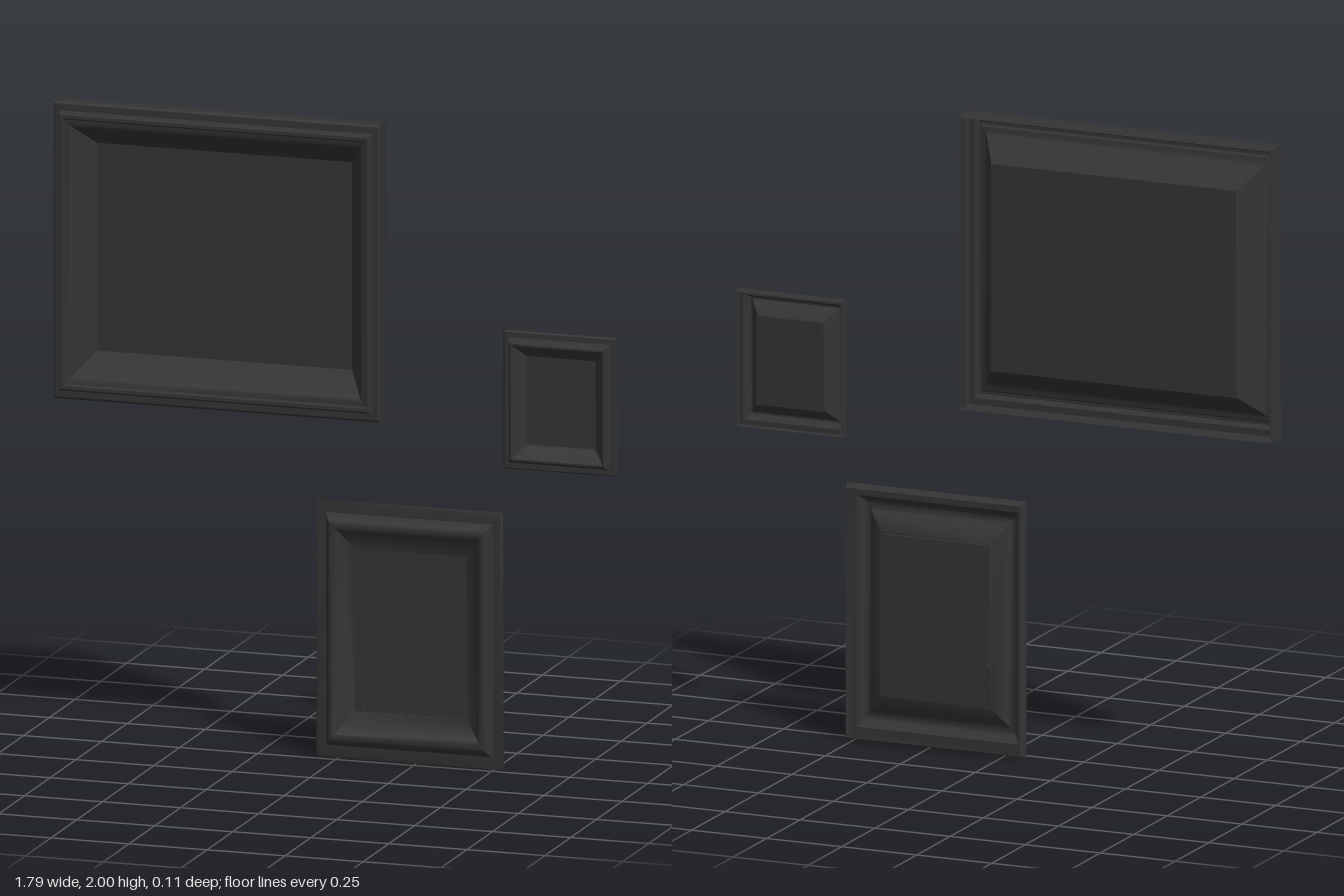
import * as THREE from 'three';
import { toCreasedNormals } from 'three/addons/utils/BufferGeometryUtils.js';

const material = new THREE.MeshStandardMaterial({ color: 0x333333, side: THREE.DoubleSide });

// Mitred hollow moulding: profile is [inset 0..1, z] from the outer back edge to the opening
function mouldingGeometry(w, h, insetX, insetY, profile) {
  const signs = [[-1, -1], [1, -1], [1, 1], [-1, 1]];
  const point = (i, k) => {
    const [t, z] = profile[i];
    const [sx, sy] = signs[k % 4];
    return [sx * (w / 2 - t * insetX), sy * (h / 2 - t * insetY), z];
  };
  const positions = [];
  for (let k = 0; k < 4; k++) {
    for (let i = 0; i < profile.length - 1; i++) {
      const a = point(i, k), b = point(i, k + 1), c = point(i + 1, k + 1), d = point(i + 1, k);
      positions.push(...a, ...b, ...c, ...a, ...c, ...d);
    }
  }
  const geometry = new THREE.BufferGeometry();
  geometry.setAttribute('position', new THREE.Float32BufferAttribute(positions, 3));
  return toCreasedNormals(geometry, 0.6);
}

function pictureFrame(name, { x0, x1, y0, y1, insetX, insetY, profile, panelZ }) {
  const w = x1 - x0, h = y1 - y0;
  const group = new THREE.Group();
  group.name = name;
  group.position.set((x0 + x1) / 2, (y0 + y1) / 2, 0);

  const moulding = new THREE.Mesh(mouldingGeometry(w, h, insetX, insetY, profile), material);
  moulding.name = 'moulding';

  const panel = new THREE.Mesh(new THREE.PlaneGeometry(w - 2 * insetX, h - 2 * insetY), material);
  panel.name = 'picturePanel';
  panel.position.z = panelZ;

  group.add(moulding, panel);
  return group;
}

// Deep stepped moulding with a long slope down to the picture
const deepProfile = [
  [0.05, -0.045], [0, 0.025], [0.05, 0.03], [0.2, 0.03], [0.22, 0.048], [0.26, 0.054],
  [0.33, 0.054], [0.37, 0.045], [0.48, 0.042], [0.56, 0.034], [0.6, 0.025], [1, -0.048],
];

// Shallow moulding with a rounded raised lip
const shallowProfile = [
  [0.07, -0.055], [0, -0.025], [0.05, -0.022], [0.26, -0.022], [0.3, -0.012], [0.36, 0],
  [0.43, 0.007], [0.5, 0.008], [0.57, 0.004], [0.64, -0.006], [0.95, -0.028], [1, -0.03], [1, -0.04],
];

export function createModel() {
  const model = new THREE.Group();
  model.name = 'pictureFrames';
  model.add(
    pictureFrame('largeFrame', {
      x0: -0.895, x1: 0.152, y0: 1.07, y1: 2, insetX: 0.115, insetY: 0.14,
      profile: deepProfile, panelZ: -0.052,
    }),
    pictureFrame('mediumFrame', {
      x0: -0.07, x1: 0.528, y0: 0, y1: 0.805, insetX: 0.12, insetY: 0.148,
      profile: shallowProfile, panelZ: -0.042,
    }),
    pictureFrame('smallFrame', {
      x0: 0.53, x1: 0.892, y0: 0.945, y1: 1.377, insetX: 0.07, insetY: 0.077,
      profile: shallowProfile, panelZ: -0.046,
    }),
  );
  return model;
}
